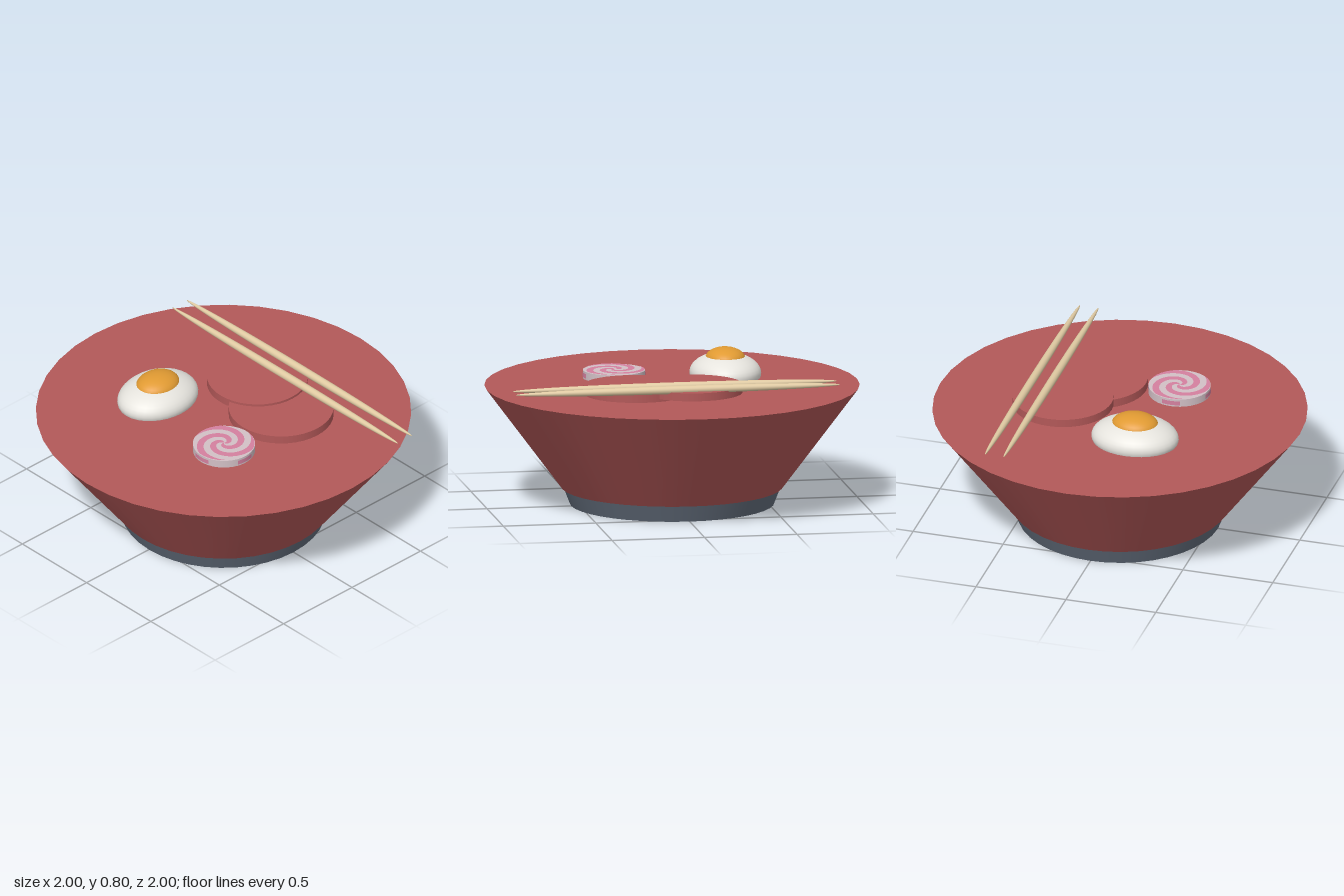
import * as THREE from 'three';

const mat = (name, color, side = THREE.FrontSide) => {
  const m = new THREE.MeshStandardMaterial({ color, side });
  m.name = name;
  return m;
};

export function createModel() {
  const model = new THREE.Group();
  model.name = 'noodleBowl';

  const red = mat('bowl red', 0xb25858);
  const slate = mat('base slate', 0x606a78);
  const white = mat('egg white', 0xe6e4de);
  const amber = mat('yolk amber', 0xe09a32);
  const pale = mat('fish cake pale', 0xd2c0c6);
  const pink = mat('fish cake pink', 0xd4809f, THREE.DoubleSide);
  const wood = mat('chopstick wood', 0xe0caa2);

  const add = (name, geometry, material, x, y, z, parent = model) => {
    const mesh = new THREE.Mesh(geometry, material);
    mesh.name = name;
    mesh.position.set(x, y, z);
    parent.add(mesh);
    return mesh;
  };
  // upright round part between two heights
  const drum = (name, rTop, rBottom, y0, y1, material, x = 0, z = 0, parent = model) =>
    add(name, new THREE.CylinderGeometry(rTop, rBottom, y1 - y0, 40), material, x, (y0 + y1) / 2, z, parent);
  const ellipsoid = (name, rx, ry, rz, material, x, y, z, parent = model) =>
    add(name, new THREE.SphereGeometry(1, 32, 20).scale(rx, ry, rz), material, x, y, z, parent);

  // bowl and foot
  drum('foot', 0.58, 0.545, 0, 0.09, slate);
  drum('bowl', 1, 0.59, 0.09, 0.64, red);

  // overlapping meat slices
  drum('lowerMeatSlice', 0.28, 0.28, 0.64, 0.685, red, 0.23, -0.205);
  drum('upperMeatSlice', 0.27, 0.27, 0.655, 0.698, red, -0.055, -0.3);

  // half egg
  const egg = new THREE.Group();
  egg.name = 'egg';
  model.add(egg);
  ellipsoid('eggWhite', 0.19, 0.105, 0.237, white, -0.32, 0.663, 0.18, egg);
  ellipsoid('yolk', 0.106, 0.06, 0.127, amber, -0.32, 0.739, 0.18, egg);

  // fish cake with a three-armed swirl
  const cake = new THREE.Group();
  cake.name = 'fishCake';
  model.add(cake);
  const cx = 0.27, cz = 0.25, r = 0.166, top = 0.683;
  drum('cakeBody', r, r, 0.64, top, pale, cx, cz, cake);
  const arms = 3, steps = 28, twist = 4.6;
  for (let a = 0; a < arms; a++) {
    const start = (a / arms) * Math.PI * 2, width = Math.PI / arms;
    const point = (t, offset) => {
      const angle = start + offset + t * twist;
      return new THREE.Vector2(Math.cos(angle), Math.sin(angle)).multiplyScalar(t * r * 0.985);
    };
    const outline = [];
    for (let i = 0; i <= steps; i++) outline.push(point(i / steps, 0));
    for (let i = 1; i <= 6; i++) outline.push(point(1, (width * i) / 6));
    for (let i = steps - 1; i > 0; i--) outline.push(point(i / steps, width));
    const swirl = new THREE.ShapeGeometry(new THREE.Shape(outline)).rotateX(-Math.PI / 2);
    add('swirlArm', swirl, pink, cx, top + 0.003, cz, cake);
  }
  // pink patches around the rim
  for (let i = 0; i < 4; i++) {
    const patch = new THREE.CylinderGeometry(r + 0.002, r + 0.002, 0.024, 8, 1, true,
      (i * Math.PI) / 2 - 0.3, 0.6);
    add('rimPatch', patch, pink, cx, 0.661, cz, cake);
  }

  // pair of chopsticks, tapered to both ends
  for (const z of [-0.4, -0.503]) {
    const stick = new THREE.SphereGeometry(1, 16, 24).rotateZ(Math.PI / 2).scale(0.877, 0.022, 0.022);
    add('chopstick', stick, wood, 0.055, 0.708, z);
  }

  return model;
}
